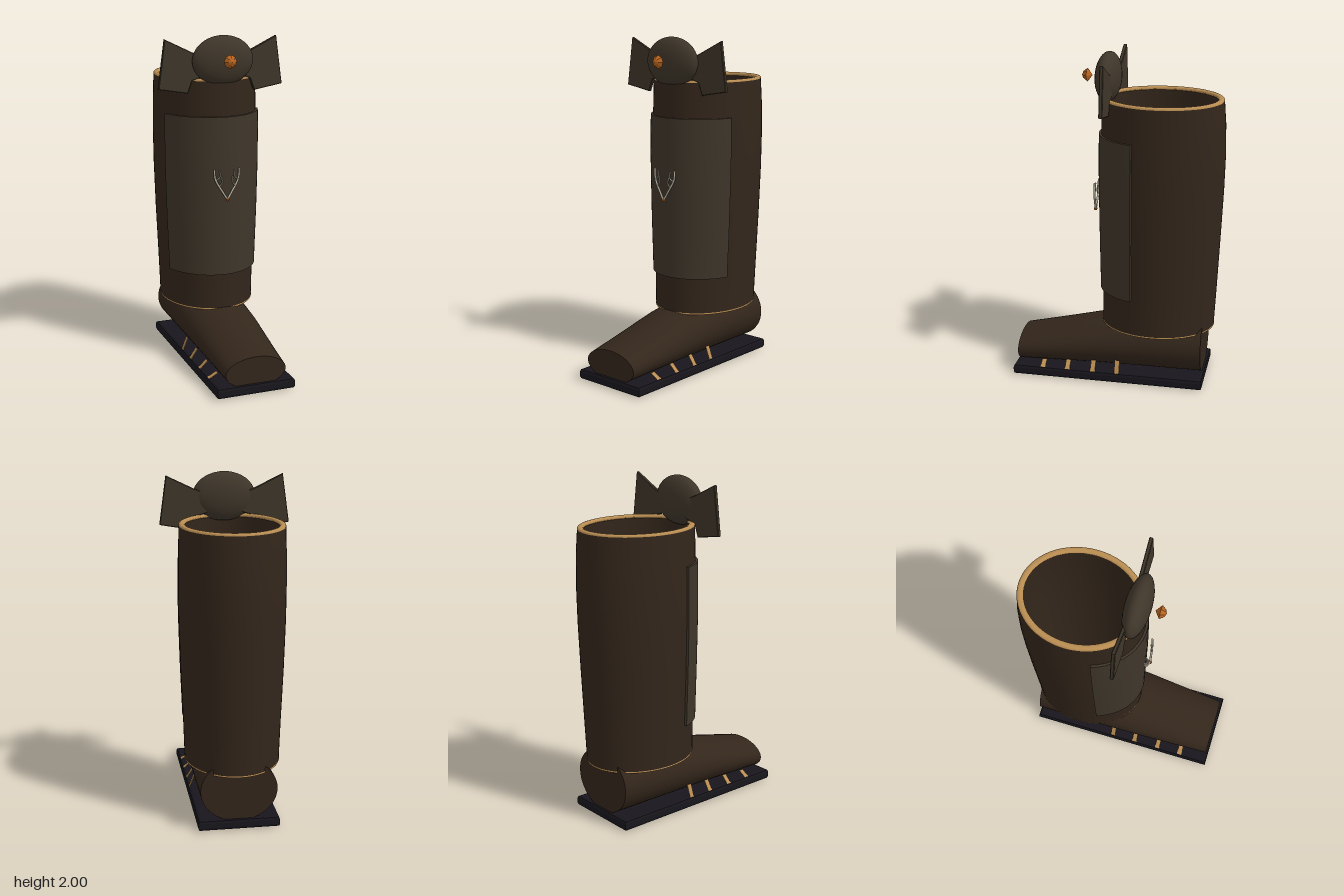
import * as THREE from 'three';
import { toCreasedNormals } from 'three/addons/utils/BufferGeometryUtils.js';

const mat = (color) => new THREE.MeshStandardMaterial({ color, side: THREE.DoubleSide });
const leather = mat(0x33261b), hide = mat(0x3f362a), rubber = mat(0x18161c);
const gold = mat(0xb98d52), amber = mat(0xb8641f), bone = mat(0xbdb6a4);
amber.flatShading = true;

function add(parent, name, geometry, material) {
  const mesh = new THREE.Mesh(geometry, material);
  mesh.name = name;
  parent.add(mesh);
  return mesh;
}

// Surface over a grid: fn(row, u) gives the point [x, y, z], u runs 0..1
function surface(rows, cols, fn, crease = 0.7) {
  const pos = [], index = [];
  for (let r = 0; r < rows; r++) {
    for (let c = 0; c <= cols; c++) {
      pos.push(...fn(r, c / cols));
      if (r < rows - 1 && c < cols) {
        const a = r * (cols + 1) + c, b = a + cols + 1;
        index.push(a, a + 1, b + 1, a, b + 1, b);
      }
    }
  }
  const g = new THREE.BufferGeometry();
  g.setAttribute('position', new THREE.Float32BufferAttribute(pos, 3));
  g.setIndex(index);
  return toCreasedNormals(g, crease);
}

// Shaft sections: y, half width, half depth, centre z
const SHAFT = [
  [0.345, 0.28, 0.343, -0.24], [0.6, 0.288, 0.349, -0.246], [0.9, 0.3, 0.358, -0.25],
  [1.2, 0.308, 0.366, -0.254], [1.4, 0.309, 0.368, -0.256], [1.6, 0.306, 0.364, -0.256],
  [1.74, 0.302, 0.356, -0.252],
];
function shaftAt(y) {
  let i = 0;
  while (i < SHAFT.length - 2 && y > SHAFT[i + 1][0]) i++;
  const t = (y - SHAFT[i][0]) / (SHAFT[i + 1][0] - SHAFT[i][0]);
  return SHAFT[i].map((v, k) => v + (SHAFT[i + 1][k] - v) * t);
}
function shaftPoint(y, angle, offset) {
  const [, rx, rz, cz] = shaftAt(y);
  return [(rx + offset) * Math.sin(angle), y, cz + (rz + offset) * Math.cos(angle)];
}

// Flattened oval ring following the shaft edge
function rim(y, offset, half, height) {
  return surface(13, 64, (r, u) => {
    const b = (r / 12) * Math.PI * 2;
    const p = shaftPoint(y, u * Math.PI * 2, offset + half * Math.cos(b));
    p[1] = y + height * Math.sin(b);
    return p;
  }, 1.2);
}

function buildShaft(group) {
  const n = SHAFT.length;
  // Outer wall up, inner wall back down
  add(group, 'shaft', surface(n * 2, 64, (r, u) => {
    const inner = r >= n;
    return shaftPoint(SHAFT[inner ? 2 * n - 1 - r : r][0], u * Math.PI * 2, inner ? -0.03 : 0);
  }), leather);
  add(group, 'topRim', rim(1.74, -0.018, 0.019, 0.012), gold);
  add(group, 'bottomRim', rim(0.345, -0.016, 0.018, 0.01), gold);

  // Shin panel wrapped around the front, edges turned in
  const rows = 12, cols = 34, span = 1.19;
  add(group, 'shinPanel', surface(rows + 2, cols, (r, u) => {
    const t = THREE.MathUtils.clamp((r - 1) / (rows - 1), 0, 1);
    const border = r === 0 || r === rows + 1 || u === 0 || u === 1;
    const k = THREE.MathUtils.clamp((u * cols - 1) / (cols - 2), 0, 1);
    return shaftPoint(0.565 + t * 0.965, (k * 2 - 1) * span, border ? -0.005 : 0.014);
  }), hide);
}

// Foot sections: z, centre y, half width, half height (zero size closes the ends)
const FOOT = [
  [-0.53, 0.24, 0, 0], [-0.53, 0.24, 0.225, 0.19], [-0.2, 0.228, 0.223, 0.178],
  [0.11, 0.2, 0.215, 0.15], [0.36, 0.166, 0.2, 0.122], [0.615, 0.133, 0.185, 0.093],
  [0.615, 0.133, 0, 0],
];

function buildFoot(group) {
  add(group, 'foot', surface(FOOT.length, 48, (r, u) => {
    const [z, cy, rx, ry] = FOOT[r], a = u * Math.PI * 2;
    return [rx * Math.cos(a), cy + ry * Math.sin(a), z];
  }), leather);

  // Sole slab with a bevelled edge
  const b = 0.018, w = 0.24 - b, z0 = -0.545 + b, z1 = 0.63 - b;
  const shape = new THREE.Shape([[-w, -z1], [w, -z1], [w, -z0], [-w, -z0]].map((p) => new THREE.Vector2(...p)));
  const sole = new THREE.ExtrudeGeometry(shape, {
    depth: 0.065 - 2 * b, bevelSize: b, bevelThickness: b, bevelSegments: 2,
  });
  sole.rotateX(-Math.PI / 2).translate(0, b, 0);
  add(group, 'sole', sole, rubber);

  // Slanted stitches joining foot and sole
  [[0.445, 0.09, 0.175], [0.29, 0.105, 0.182], [0.13, 0.12, 0.19], [-0.02, 0.137, 0.2]].forEach(([z, top, x]) => {
    for (const side of [-1, 1]) {
      const dx = 0.23 - x, dy = top - 0.06;
      const stitch = add(group, 'stitch', new THREE.BoxGeometry(0.004, Math.hypot(dx, dy), 0.03), gold);
      stitch.position.set(side * (x + dx / 2), (top + 0.06) / 2, z);
      stitch.rotation.z = side * Math.atan2(dx, dy);
    }
  });
}

function buildCrest(group) {
  const knot = add(group, 'crestKnot', new THREE.SphereGeometry(1, 32, 20), hide);
  knot.scale.set(0.187, 0.145, 0.073);
  knot.position.set(0, 1.855, 0.07);

  // Side wings
  for (const side of [-1, 1]) {
    const pts = [[0.05, 1.86], [0.05, 1.78], [0.18, 1.74], [0.207, 1.667], [0.385, 1.698], [0.345, 1.985], [0.18, 1.905]];
    const shape = new THREE.Shape(pts.map(([x, y]) => new THREE.Vector2(side * x, y)));
    const wing = new THREE.ExtrudeGeometry(shape, {
      depth: 0.014, bevelSize: 0.004, bevelThickness: 0.004, bevelOffset: -0.004, bevelSegments: 1,
    });
    add(group, 'crestWing', wing.translate(0, 0, 0.031), hide);
  }

  // Cut gem floating before the knot
  const cut = [[0, 0.165], [0.04, 0.195], [0.022, 0.218], [0, 0.228]].map((p) => new THREE.Vector2(...p));
  const gem = add(group, 'gem', new THREE.LatheGeometry(cut, 8).rotateX(Math.PI / 2), amber);
  gem.position.y = 1.86;
}

// Forked antler ornament on the shin panel
function buildAntlers(group) {
  const branches = [
    [0.0065, [[0, 1.04, 0.152], [0.03, 1.09, 0.149], [0.058, 1.135, 0.146], [0.074, 1.17, 0.142], [0.078, 1.22, 0.14]]],
    [0.0045, [[0.05, 1.122, 0.147], [0.034, 1.145, 0.15], [0.035, 1.178, 0.146]]],
    [0.0045, [[0.07, 1.16, 0.143], [0.047, 1.178, 0.147], [0.044, 1.215, 0.142]]],
  ];
  for (const side of [-1, 1]) {
    for (const [radius, pts] of branches) {
      const curve = new THREE.CatmullRomCurve3(pts.map(([x, y, z]) => new THREE.Vector3(side * x, y, z)));
      add(group, 'antlerBranch', new THREE.TubeGeometry(curve, 16, radius, 8), bone);
      const tip = add(group, 'antlerTip', new THREE.SphereGeometry(radius, 8, 6), bone);
      tip.position.copy(curve.getPoint(1));
    }
  }
  const bead = add(group, 'antlerBead', new THREE.SphereGeometry(0.011, 10, 8), amber);
  bead.position.set(0, 1.042, 0.153);
}

export function createModel() {
  const model = new THREE.Group();
  model.name = 'boot';
  for (const [name, build] of [['shaftGroup', buildShaft], ['footGroup', buildFoot], ['crest', buildCrest], ['antlers', buildAntlers]]) {
    const part = new THREE.Group();
    part.name = name;
    build(part);
    model.add(part);
  }
  return model;
}
